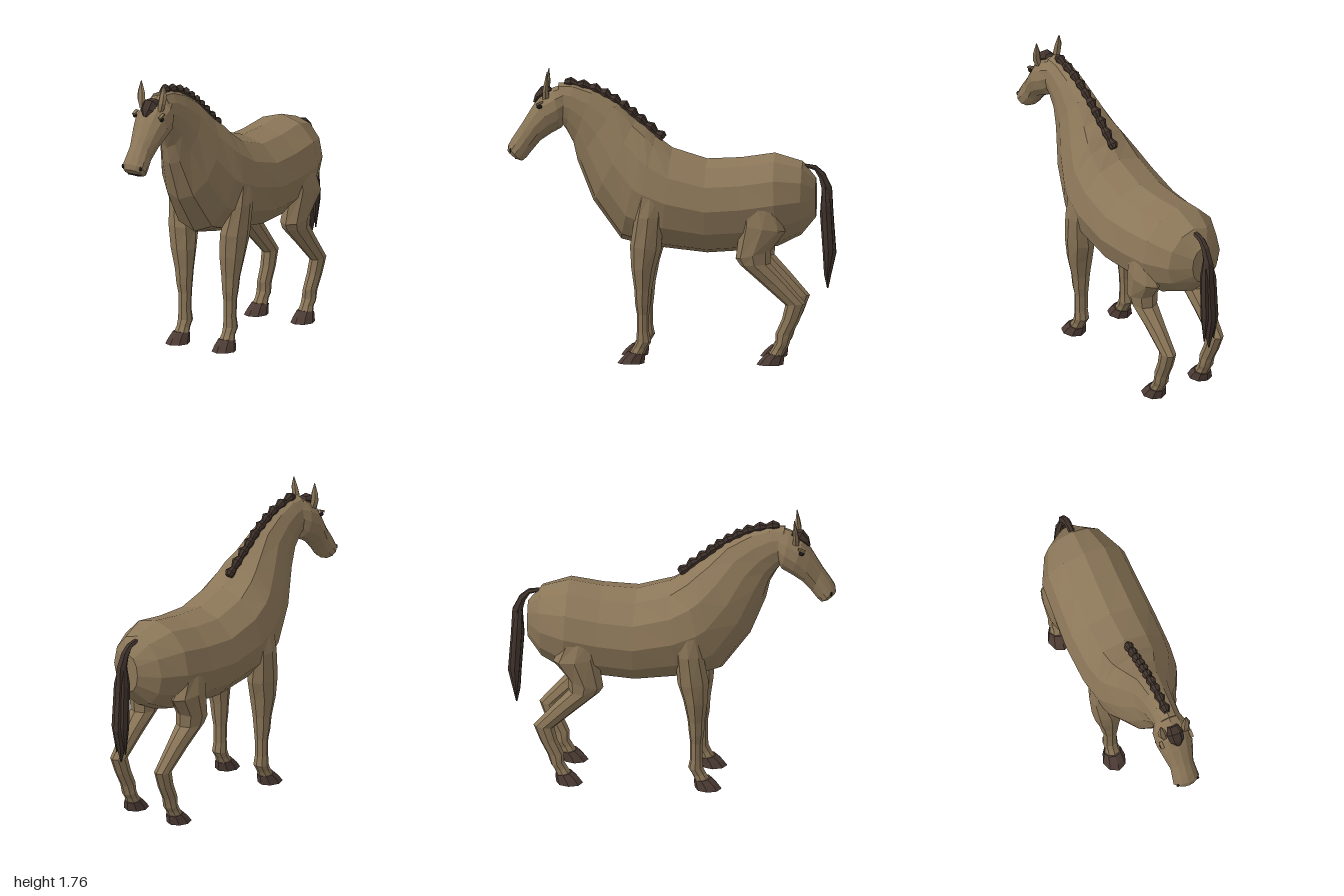
import * as THREE from 'three';

const mat = (name, color) => {
  const m = new THREE.MeshStandardMaterial({ color });
  m.name = name;
  return m;
};

// Lofts elliptical rings. Each section is [z1, y1, z2, y2, centreX, halfWidth]:
// two opposite points in the side plane plus the sideways extent.
function loft(sections, sides) {
  const pos = [], idx = [], n = sides;
  for (const [z1, y1, z2, y2, cx, w] of sections) {
    for (let i = 0; i < n; i++) {
      const a = (i / n) * Math.PI * 2, c = Math.cos(a), s = Math.sin(a);
      pos.push(cx + w * c, (y1 + y2) / 2 + ((y1 - y2) / 2) * s, (z1 + z2) / 2 + ((z1 - z2) / 2) * s);
    }
  }
  const last = sections.length - 1;
  for (let r = 0; r < last; r++) {
    for (let i = 0; i < n; i++) {
      const a = r * n + i, b = r * n + ((i + 1) % n);
      idx.push(a, b, b + n, a, b + n, a + n);
    }
  }
  // End caps
  for (const r of [0, last]) {
    const [z1, y1, z2, y2, cx] = sections[r];
    const centre = pos.length / 3;
    pos.push(cx, (y1 + y2) / 2, (z1 + z2) / 2);
    for (let i = 0; i < n; i++) {
      const a = r * n + i, b = r * n + ((i + 1) % n);
      if (r === 0) idx.push(centre, b, a);
      else idx.push(centre, a, b);
    }
  }
  // Turn the faces outward when the enclosed volume comes out negative
  let volume = 0;
  const v = (i) => new THREE.Vector3().fromArray(pos, i * 3);
  for (let i = 0; i < idx.length; i += 3) volume += v(idx[i]).dot(v(idx[i + 1]).cross(v(idx[i + 2])));
  if (volume < 0) idx.reverse();
  const g = new THREE.BufferGeometry();
  g.setAttribute('position', new THREE.Float32BufferAttribute(pos, 3));
  g.setIndex(idx);
  const flat = g.toNonIndexed();
  flat.computeVertexNormals();
  return flat;
}

export function createModel() {
  const horse = new THREE.Group();
  horse.name = 'horse';
  const coat = mat('coat brown', 0x8b7658);
  const hair = mat('dark hair', 0x3f322b);
  const horn = mat('hoof brown', 0x4d3c35);
  const dark = mat('eye black', 0x1d1815);

  const add = (name, geometry, material, parent = horse) => {
    const mesh = new THREE.Mesh(geometry, material);
    mesh.name = name;
    parent.add(mesh);
    return mesh;
  };

  // Trunk and neck, rump to poll
  add('bodyAndNeck', loft([
    [-0.87, 1.12, -0.87, 0.88, 0, 0.07],
    [-0.79, 1.22, -0.78, 0.77, 0, 0.19],
    [-0.62, 1.27, -0.64, 0.70, 0, 0.27],
    [-0.42, 1.24, -0.42, 0.67, 0, 0.28],
    [-0.21, 1.23, -0.21, 0.655, 0, 0.29],
    [0.00, 1.295, 0.06, 0.685, 0, 0.285],
    [0.10, 1.37, 0.25, 0.72, 0, 0.265],
    [0.15, 1.42, 0.31, 0.735, 0, 0.245],
    [0.22, 1.47, 0.48, 0.97, 0, 0.19],
    [0.33, 1.57, 0.575, 1.21, 0, 0.125],
    [0.48, 1.65, 0.60, 1.32, 0, 0.10],
    [0.60, 1.685, 0.64, 1.395, 0, 0.09],
    [0.69, 1.685, 0.665, 1.43, 0, 0.085],
  ], 12), coat);

  // Head, poll to muzzle
  const head = new THREE.Group();
  head.name = 'head';
  horse.add(head);
  add('skull', loft([
    [0.65, 1.68, 0.655, 1.44, 0, 0.085],
    [0.72, 1.655, 0.672, 1.41, 0, 0.112],
    [0.80, 1.61, 0.735, 1.375, 0, 0.115],
    [0.85, 1.535, 0.80, 1.33, 0, 0.098],
    [0.92, 1.42, 0.85, 1.27, 0, 0.075],
    [0.97, 1.345, 0.885, 1.225, 0, 0.08],
    [0.995, 1.30, 0.91, 1.205, 0, 0.083],
    [1.00, 1.265, 0.925, 1.21, 0, 0.06],
  ], 12), coat, head);
  add('mouth', new THREE.BoxGeometry(0.09, 0.008, 0.012), dark, head).position.set(0, 1.225, 0.947);
  add('forelock', loft([
    [0.75, 1.66, 0.72, 1.63, 0, 0.035],
    [0.80, 1.66, 0.76, 1.60, 0, 0.052],
    [0.835, 1.61, 0.80, 1.59, 0, 0.045],
    [0.845, 1.565, 0.83, 1.56, 0, 0.012],
  ], 6), hair, head);

  // Paired head details
  for (const s of [1, -1]) {
    const side = s > 0 ? 'left' : 'right';
    add(side + 'Ear', loft([
      [0.785, 1.59, 0.74, 1.60, s * 0.065, 0.02],
      [0.785, 1.64, 0.745, 1.645, s * 0.075, 0.028],
      [0.775, 1.69, 0.745, 1.69, s * 0.08, 0.026],
      [0.757, 1.76, 0.753, 1.76, s * 0.083, 0.003],
    ], 6), coat, head);
    const eye = add(side + 'Eye', new THREE.SphereGeometry(0.018, 8, 6), dark, head);
    eye.position.set(s * 0.098, 1.55, 0.8);
    eye.scale.set(0.6, 0.75, 1);
    const brow = add(side + 'Brow', new THREE.BoxGeometry(0.02, 0.01, 0.045), coat, head);
    brow.position.set(s * 0.096, 1.57, 0.8);
    brow.rotation.x = 0.4;
    const nostril = add(side + 'Nostril', new THREE.SphereGeometry(0.014, 6, 4), dark, head);
    nostril.position.set(s * 0.064, 1.275, 0.978);
    nostril.scale.set(0.8, 1, 0.5);
  }

  // Mane: a row of tufts along the crest
  const crest = new THREE.CatmullRomCurve3(
    [[1.35, 0.05], [1.475, 0.2], [1.575, 0.33], [1.655, 0.48], [1.695, 0.67]]
      .map(([y, z]) => new THREE.Vector3(0, y, z)));
  const tufts = 10, maneRings = [];
  for (let i = 0; i < tufts; i++) {
    for (const [f, up, w] of [[0.03, 0.024, 0.022], [0.35, 0.034, 0.032], [0.8, 0.014, 0.018]]) {
      const t = (i + f) / tufts, p = crest.getPoint(t), d = crest.getTangent(t);
      maneRings.push([p.z - d.y * up, p.y + d.z * up, p.z + d.y * 0.03, p.y - d.z * 0.03, 0, w]);
    }
  }
  add('mane', loft(maneRings, 8), hair);

  // Tail: a main lock with a shorter one on each side
  const tail = new THREE.Group();
  tail.name = 'tail';
  horse.add(tail);
  add('mainLock', loft([
    [-0.80, 1.205, -0.81, 1.18, 0, 0.018],
    [-0.87, 1.195, -0.86, 1.165, 0, 0.022],
    [-0.925, 1.15, -0.885, 1.12, 0, 0.026],
    [-0.97, 1.06, -0.90, 1.05, 0, 0.03],
    [-0.98, 0.90, -0.888, 0.90, 0, 0.034],
    [-0.998, 0.66, -0.905, 0.66, 0, 0.034],
    [-0.965, 0.53, -0.915, 0.53, 0, 0.024],
    [-0.945, 0.445, -0.935, 0.445, 0, 0.004],
  ], 6), hair, tail);
  for (const s of [1, -1]) {
    add(s > 0 ? 'leftLock' : 'rightLock', loft([
      [-0.94, 1.09, -0.91, 1.09, s * 0.012, 0.012],
      [-0.965, 0.95, -0.90, 0.95, s * 0.03, 0.02],
      [-0.98, 0.68, -0.915, 0.68, s * 0.036, 0.02],
      [-0.945, 0.50, -0.935, 0.50, s * 0.034, 0.003],
    ], 6), hair, tail);
  }

  // Legs, mirrored left and right
  const frontLeg = [
    [0.185, 1.04, 0.05, 1.02, 0.245, 0.025],
    [0.215, 0.90, 0.045, 0.90, 0.22, 0.065],
    [0.245, 0.72, 0.055, 0.70, 0.188, 0.09],
    [0.238, 0.58, 0.09, 0.58, 0.178, 0.083],
    [0.22, 0.45, 0.115, 0.45, 0.17, 0.062],
    [0.215, 0.36, 0.123, 0.36, 0.168, 0.053],
    [0.205, 0.30, 0.13, 0.30, 0.165, 0.044],
    [0.205, 0.20, 0.13, 0.19, 0.165, 0.042],
    [0.208, 0.135, 0.118, 0.13, 0.165, 0.047],
    [0.225, 0.10, 0.145, 0.085, 0.165, 0.042],
    [0.25, 0.06, 0.16, 0.05, 0.166, 0.05],
  ];
  const hindLeg = [
    [-0.44, 0.98, -0.62, 0.99, 0.235, 0.03],
    [-0.425, 0.86, -0.70, 0.82, 0.205, 0.085],
    [-0.395, 0.65, -0.61, 0.70, 0.185, 0.085],
    [-0.42, 0.61, -0.605, 0.62, 0.182, 0.078],
    [-0.555, 0.49, -0.70, 0.515, 0.178, 0.058],
    [-0.695, 0.365, -0.82, 0.375, 0.175, 0.045],
    [-0.675, 0.28, -0.78, 0.27, 0.17, 0.044],
    [-0.635, 0.19, -0.735, 0.18, 0.167, 0.042],
    [-0.635, 0.135, -0.715, 0.115, 0.165, 0.047],
    [-0.615, 0.10, -0.695, 0.085, 0.165, 0.042],
    [-0.59, 0.06, -0.68, 0.05, 0.166, 0.05],
  ];
  const hoof = [
    [0.255, 0.07, 0.153, 0.055, 0.166, 0.054],
    [0.295, 0.035, 0.155, 0.03, 0.168, 0.063],
    [0.322, 0, 0.16, 0, 0.17, 0.072],
  ];
  const mirrored = (rings, s, dz = 0) =>
    rings.map(([z1, y1, z2, y2, x, w]) => [z1 + dz, y1, z2 + dz, y2, s * x, w]);
  for (const s of [1, -1]) {
    for (const [end, rings, dz] of [['Front', frontLeg, 0], ['Hind', hindLeg, -0.842]]) {
      const leg = new THREE.Group();
      leg.name = (s > 0 ? 'left' : 'right') + end + 'Leg';
      horse.add(leg);
      add('limb', loft(mirrored(rings, s), 8), coat, leg);
      add('hoof', loft(mirrored(hoof, s, dz), 8), horn, leg);
    }
  }
  return horse;
}
